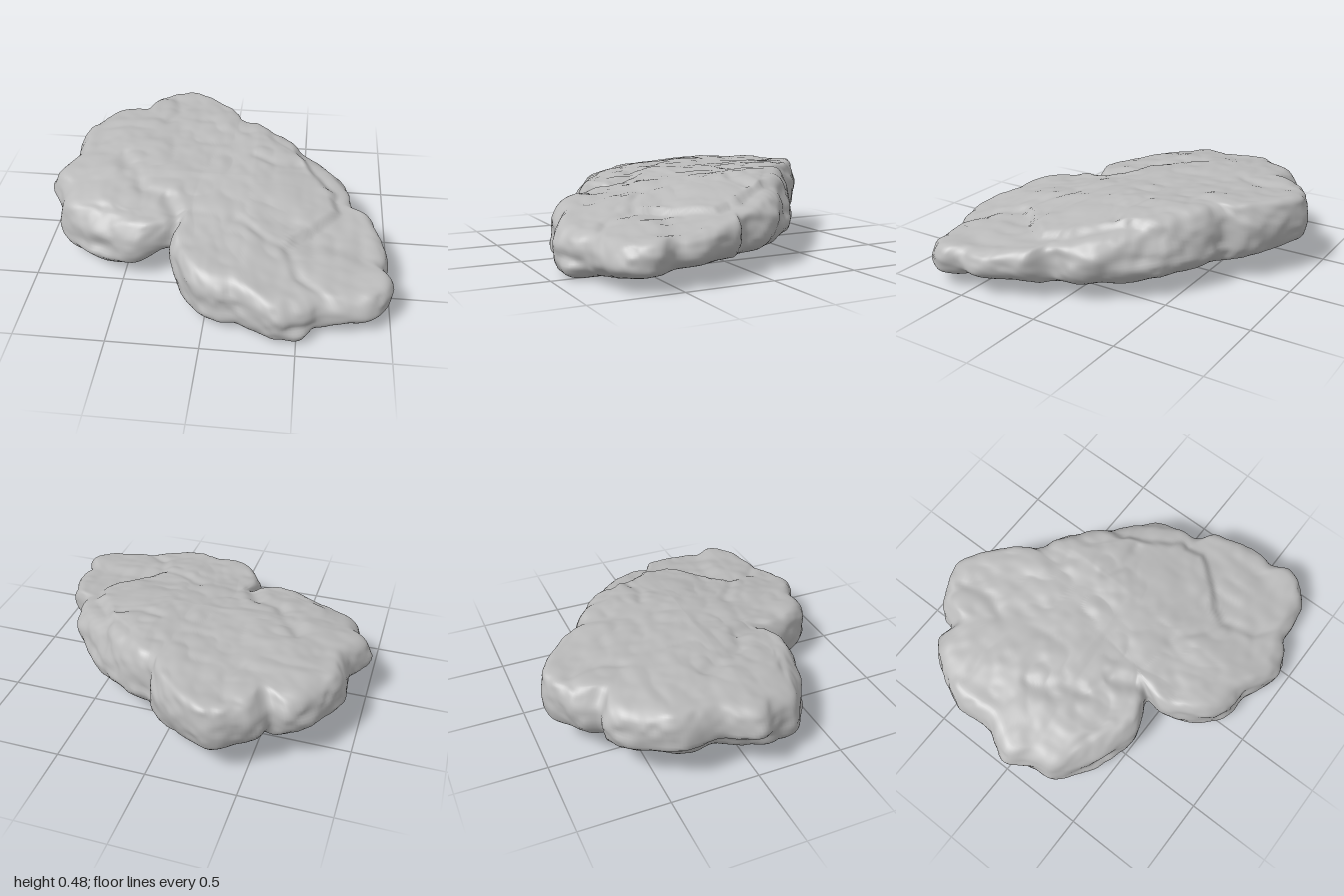
import * as THREE from 'three';

const smooth = THREE.MathUtils.smoothstep;

// Seeded lattice noise in -1..1
function hash(x, y, z) {
  let h = Math.imul(x, 374761393) ^ Math.imul(y, 668265263) ^ Math.imul(z, 1274126177);
  h = Math.imul(h ^ (h >>> 13), 1103515245);
  return (((h ^ (h >>> 16)) >>> 0) / 4294967295) * 2 - 1;
}
function noise(x, y, z) {
  const X = Math.floor(x), Y = Math.floor(y), Z = Math.floor(z);
  const ease = (t) => t * t * (3 - 2 * t);
  const u = ease(x - X), v = ease(y - Y), w = ease(z - Z);
  let sum = 0;
  for (let k = 0; k < 8; k++) {
    const a = k & 1, b = (k >> 1) & 1, c = k >> 2;
    sum += hash(X + a, Y + b, Z + c) * (a ? u : 1 - u) * (b ? v : 1 - v) * (c ? w : 1 - w);
  }
  return sum;
}

// Value at t along a list of [t, value] pairs
function along(table, t) {
  for (let k = 1; k < table.length; k++) {
    const [t0, v0] = table[k - 1], [t1, v1] = table[k];
    if (t < t1) return THREE.MathUtils.lerp(v0, v1, THREE.MathUtils.clamp((t - t0) / (t1 - t0), 0, 1));
  }
  return table[table.length - 1][1];
}

// Outline of the slab seen from above, as x, z pairs
const OUTLINE = [
  [-0.30, -0.97], [-0.18, -0.92], [-0.02, -0.82], [0.06, -0.74], [0.10, -0.66], [0.22, -0.62],
  [0.35, -0.55], [0.47, -0.47], [0.55, -0.39], [0.65, -0.29], [0.74, -0.18], [0.79, -0.08],
  [0.81, 0.05], [0.90, 0.13], [0.95, 0.25], [0.99, 0.40], [0.96, 0.52], [1.0, 0.62],
  [0.97, 0.72], [0.87, 0.80], [0.76, 0.83], [0.62, 0.86], [0.55, 0.94], [0.42, 0.96],
  [0.30, 0.91], [0.18, 0.85], [0.05, 0.84], [-0.08, 0.76], [-0.17, 0.65], [-0.22, 0.53],
  [-0.21, 0.43], [-0.30, 0.46], [-0.43, 0.50], [-0.57, 0.47], [-0.70, 0.43], [-0.83, 0.35],
  [-0.92, 0.27], [-0.94, 0.16], [-1.0, 0.01], [-0.96, -0.10], [-0.91, -0.20], [-0.93, -0.37],
  [-0.88, -0.53], [-0.79, -0.66], [-0.68, -0.74], [-0.59, -0.73], [-0.55, -0.82], [-0.43, -0.92],
];

// Heights of the top and bottom from back to front, and how they change from left to right
const TOP_LINE = [[-0.95, 0.467], [-0.5, 0.482], [-0.25, 0.475], [0, 0.455], [0.2, 0.42], [0.4, 0.383], [0.65, 0.345], [0.95, 0.3]];
const TOP_DROP = [[-1, 0.05], [-0.6, 0], [0.2, 0], [0.5, 0.045], [0.75, 0.07], [1, 0.08]];
const BOTTOM_LINE = [[-0.95, 0.16], [-0.75, 0.145], [-0.54, 0.12], [-0.28, 0.08], [0, 0.057], [0.34, 0.037], [0.65, 0.015], [0.95, 0.02]];
const BOTTOM_LIFT = [[-1, 0.05], [-0.8, 0.03], [-0.25, 0.025], [0, 0.005], [0.5, 0.005], [0.75, 0.045], [1, 0.085]];

// Edge of the raised upper layer, as z, x pairs
const LEDGE = [[-0.5, 0.48], [-0.25, 0.53], [0, 0.60], [0.15, 0.69], [0.28, 0.62], [0.38, 0.50], [0.5, 0.42]];

// Shelves where the upper half of the side steps back: x, z, radius, depth
const SHELVES = [[-0.75, 0.42, 0.28, 0.04], [0.52, 0.95, 0.13, 0.06], [0.5, -0.45, 0.25, 0.03]];

// Cracks in the top: x0, z0, x1, z1, depth
const CRACKS = [
  [-0.21, 0.45, -0.27, 0.22, 0.025], [-0.62, -0.10, -0.40, 0.18, 0.015], [-0.40, 0.18, -0.27, 0.22, 0.012],
  [-0.33, -0.85, -0.33, -0.50, 0.012], [0.12, 0.36, 0.45, 0.50, 0.012], [0.18, -0.20, 0.50, -0.15, 0.01],
  [0.45, 0.50, 0.62, 0.84, 0.012],
];
function crackDepth(x, z) {
  let depth = 0;
  for (const [x0, z0, x1, z1, d] of CRACKS) {
    const dx = x1 - x0, dz = z1 - z0;
    const t = THREE.MathUtils.clamp(((x - x0) * dx + (z - z0) * dz) / (dx * dx + dz * dz), 0, 1);
    const dist = Math.hypot(x - x0 - t * dx, z - z0 - t * dz);
    depth = Math.max(depth, d * Math.exp(-((dist / 0.035) ** 2)));
  }
  return depth;
}

// Lumpy relief with sharp-edged hollows
function relief(x, z, seed) {
  const hollows = Math.abs(noise(x * 4.3, seed, z * 4.3)), chips = Math.abs(noise(x * 8, seed + 7, z * 8));
  return 0.008 * noise(x * 3, seed + 5, z * 3) + 0.014 * (hollows - 0.27) + 0.01 * (chips - 0.27) +
    0.003 * noise(x * 18, seed + 3, z * 18);
}

function topHeight(x, z) {
  // Wander the ledge and cracks so they do not run straight
  const wx = x + 0.05 * noise(x * 6, 60, z * 6), wz = z + 0.05 * noise(x * 6, 70, z * 6);
  const edge = along(LEDGE, wz);
  const step = 0.035 * smooth(wx, edge - 0.03, edge + 0.03) * (1 - smooth(wz, 0.4, 0.6));
  return along(TOP_LINE, z) - along(TOP_DROP, x) - step - crackDepth(wx, wz) + relief(x, z, 1);
}
function bottomHeight(x, z) {
  // The underside rises into the notch between the two front lobes
  const notch = 0.13 * Math.exp(-((x + 0.25) ** 2 + (z - 0.42) ** 2) / 0.03);
  return along(BOTTOM_LINE, z) + along(BOTTOM_LIFT, x) + notch + 0.7 * relief(x, z, 40);
}

// How far the side is set back at rim point p and height y
function setBack(p, y) {
  let depth = 0.06 * smooth(-p.x, 0.6, 0.92) * (1 - smooth(p.z, 0, 0.15)) * (1 - smooth(y, 0.2, 0.27));
  for (const [x, z, radius, d] of SHELVES) {
    depth += d * Math.exp(-((p.x - x) ** 2 + (p.z - z) ** 2) / radius ** 2) * smooth(y, 0.17 - 0.1 * z, 0.23 - 0.1 * z);
  }
  return depth;
}

function slabGeometry() {
  const AROUND = 320, TOP = 46, SIDE = 28, BOTTOM = 30, ROUND_TOP = 0.11, ROUND_BOTTOM = 0.14;
  const curve = new THREE.CatmullRomCurve3(OUTLINE.map(([x, z]) => new THREE.Vector3(x, 0, z)), true, 'centripetal');
  const rim = curve.getSpacedPoints(AROUND).slice(0, AROUND);

  // Rings run from the middle of the top, over the rounded side, to the middle of the bottom
  const rings = [];
  for (let j = 0; j < TOP; j++) rings.push({ s: Math.max(j / TOP, 0.001), inset: ROUND_TOP, level: 1 });
  for (let j = 0; j <= SIDE; j++) {
    const a = Math.PI * (0.5 - j / SIDE);
    rings.push({
      s: 1,
      inset: (a > 0 ? ROUND_TOP : ROUND_BOTTOM) * (1 - Math.max(0, Math.cos(a)) ** 0.8),
      level: Math.sign(a) * Math.abs(Math.sin(a)) ** 0.95,
    });
  }
  for (let j = BOTTOM - 1; j >= 0; j--) rings.push({ s: Math.max(j / BOTTOM, 0.001), inset: ROUND_BOTTOM, level: -1 });

  const positions = [], index = [];
  for (const { s, inset, level } of rings) {
    for (const p of rim) {
      const r = p.length();
      let k = s * (1 - inset / r);
      let x = p.x * k, z = p.z * k;
      const high = topHeight(x, z), low = bottomHeight(x, z);
      const y = (high + low) / 2 + level * (high - low) / 2;
      // Layered, broken sides
      const layers = 0.016 * noise(p.x * 4, y * 11, p.z * 4) + 0.014 * noise(p.x * 9, y * 14 + 7, p.z * 9) +
        0.007 * noise(p.x * 20, y * 26, p.z * 20);
      k += smooth(s, 0.8, 1) * (layers - setBack(p, y)) / r;
      x = p.x * k;
      z = p.z * k;
      positions.push(x, y, z);
    }
  }
  for (let j = 0; j < rings.length - 1; j++) {
    for (let i = 0; i < AROUND; i++) {
      const n = (i + 1) % AROUND;
      const a = j * AROUND + i, b = j * AROUND + n, c = a + AROUND, d = b + AROUND;
      index.push(a, b, c, b, d, c);
    }
  }
  const geometry = new THREE.BufferGeometry();
  geometry.setAttribute('position', new THREE.Float32BufferAttribute(positions, 3));
  geometry.setIndex(index);
  geometry.computeBoundingBox();
  const { min, max } = geometry.boundingBox;
  geometry.translate(-(min.x + max.x) / 2, -min.y, -(min.z + max.z) / 2);
  geometry.computeVertexNormals();
  return geometry;
}

export function createModel() {
  const stone = new THREE.MeshStandardMaterial({ color: 0xbababa });
  stone.name = 'stone grey';
  const slab = new THREE.Mesh(slabGeometry(), stone);
  slab.name = 'rockSlab';
  const model = new THREE.Group();
  model.name = 'flatRock';
  model.add(slab);
  return model;
}
